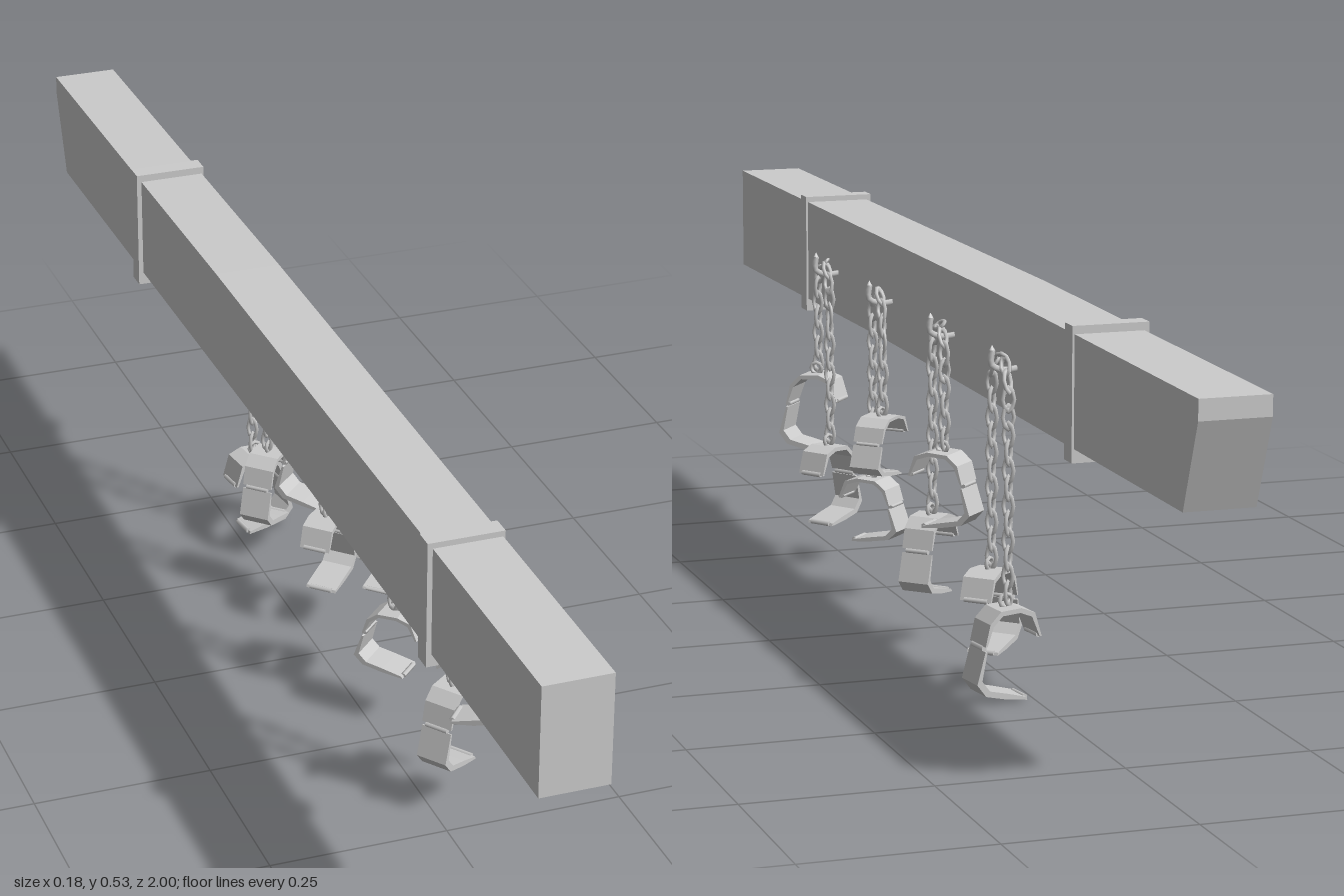
import * as THREE from 'three';

const V = (x, y, z) => new THREE.Vector3(x, y, z);
const grey = new THREE.MeshStandardMaterial({ color: 0xcccccc });
const flat = new THREE.MeshStandardMaterial({ color: 0xcccccc, flatShading: true });

function add(parent, name, geometry, material = flat) {
  const mesh = new THREE.Mesh(geometry, material);
  mesh.name = name;
  parent.add(mesh);
  return mesh;
}

// Plate bent through a few points, thickened towards a centre, extruded along z
function bentPlate(points, cx, cy, width) {
  const inner = points.map(([x, y], i) => {
    const k = i === 0 || i === points.length - 1 ? 0.93 : 0.86;
    return [cx + (x - cx) * k, cy + (y - cy) * k];
  });
  const outline = [...points, ...inner.reverse()].map(([x, y]) => new THREE.Vector2(x, y));
  const geo = new THREE.ExtrudeGeometry(new THREE.Shape(outline), { depth: width, bevelEnabled: false });
  return geo.translate(0, 0, -width / 2);
}

const upperHalf = bentPlate([[-0.042, -0.045], [-0.032, -0.012], [-0.012, -0.004], [0.018, -0.006], [0.034, -0.022], [0.041, -0.052]], 0, -0.05, 0.046);
const lowerHalf = bentPlate([[0.041, -0.058], [0.053, -0.102], [0.04, -0.119], [0.01, -0.126], [-0.021, -0.13]], 0, -0.07, 0.046);
const knuckle = new THREE.CylinderGeometry(0.004, 0.004, 0.034, 6).rotateX(Math.PI / 2);
const linkGeo = new THREE.TorusGeometry(0.0075, 0.0028, 5, 8).scale(1, 1.9, 1);
const eyeGeo = new THREE.TorusGeometry(0.009, 0.003, 5, 8);

// Open shackle hanging from its top eye, the lower half swung away
function cuff(yaw, squash) {
  const g = new THREE.Group();
  g.name = 'shackle';
  add(g, 'shackleUpperHalf', upperHalf);
  add(g, 'shackleLowerHalf', lowerHalf);
  add(g, 'shackleHinge', knuckle, grey).position.set(0.04, -0.055, 0);
  add(g, 'shackleClasp', knuckle, grey).position.set(-0.04, -0.044, 0);
  add(g, 'shackleClasp', knuckle, grey).position.set(-0.02, -0.127, 0);
  add(g, 'shackleEye', eyeGeo, grey).position.set(0, 0.003, 0);
  g.rotation.y = THREE.MathUtils.degToRad(yaw);
  g.scale.y = squash;
  return g;
}

// Chain draped over its hook, links turned alternately
function chain(path) {
  const g = new THREE.Group();
  g.name = 'chain';
  const count = Math.round(path.getLength() / 0.0235);
  for (let i = 0; i <= count; i++) {
    const link = add(g, 'chainLink', linkGeo, grey);
    link.position.copy(path.getPointAt(i / count));
    link.quaternion.setFromUnitVectors(V(0, 1, 0), path.getTangentAt(i / count));
    link.rotateY(i % 2 ? Math.PI / 4 : -Math.PI / 4);
  }
  return g;
}

export function createModel() {
  const model = new THREE.Group();
  model.name = 'beamWithShackles';

  // Timber beam with a raked back end
  const side = new THREE.Shape([[-0.955, 0.37], [0.2, 0.376], [1, 0.368], [1, 0.522], [-0.2, 0.524], [-1, 0.515], [-1, 0.488]]
    .map(([z, y]) => new THREE.Vector2(z, y)));
  const beam = new THREE.ExtrudeGeometry(side, { depth: 0.094, bevelEnabled: false });
  add(model, 'beam', beam.rotateY(-Math.PI / 2).translate(0.009, 0, 0));

  // Straps around the beam
  for (const z of [0.635, -0.565]) {
    add(model, 'strap', new THREE.BoxGeometry(0.104, 0.177, 0.028)).position.set(-0.04, 0.442, z);
  }

  // Per set: hook z, then [chain z, chain bottom y, shackle yaw, vertical scale] for each end
  const sets = [
    [0.462, [0.49, 0.285, -40, 0.95], [0.43, 0.185, 215, 0.95]],
    [0.19, [0.21, 0.18, 135, 0.75], [0.162, 0.28, 45, 0.7]],
    [-0.095, [-0.07, 0.185, 45, 0.9], [-0.123, 0.285, 135, 0.85]],
    [-0.357, [-0.325, 0.165, 225, 0.9], [-0.392, 0.13, 8, 1]],
  ];
  const x = 0.032;
  for (const [z, a, b] of sets) {
    const set = new THREE.Group();
    set.name = 'shackleSet';
    model.add(set);

    // Hook driven into the beam side
    const hookPath = new THREE.CatmullRomCurve3([V(0, 0.438, z), V(0.028, 0.436, z), V(0.044, 0.444, z), V(0.043, 0.463, z)]);
    add(set, 'hook', new THREE.TubeGeometry(hookPath, 10, 0.0045, 6), grey);
    add(set, 'hookTip', new THREE.ConeGeometry(0.0045, 0.008, 6), grey).position.set(0.043, 0.466, z);

    const path = new THREE.CatmullRomCurve3([
      V(x, a[1] + 0.012, a[0]), V(x, 0.37, a[0]), V(x, 0.425, z + (a[0] - z) * 0.9),
      V(x - 0.003, 0.452, z), V(x, 0.425, z + (b[0] - z) * 0.9), V(x, 0.37, b[0]), V(x, b[1] + 0.012, b[0]),
    ]);
    set.add(chain(path));
    for (const [cz, cy, yaw, squash] of [a, b]) {
      const c = cuff(yaw, squash);
      c.position.set(x + 0.003, cy, cz);
      set.add(c);
    }
  }
  return model;
}
